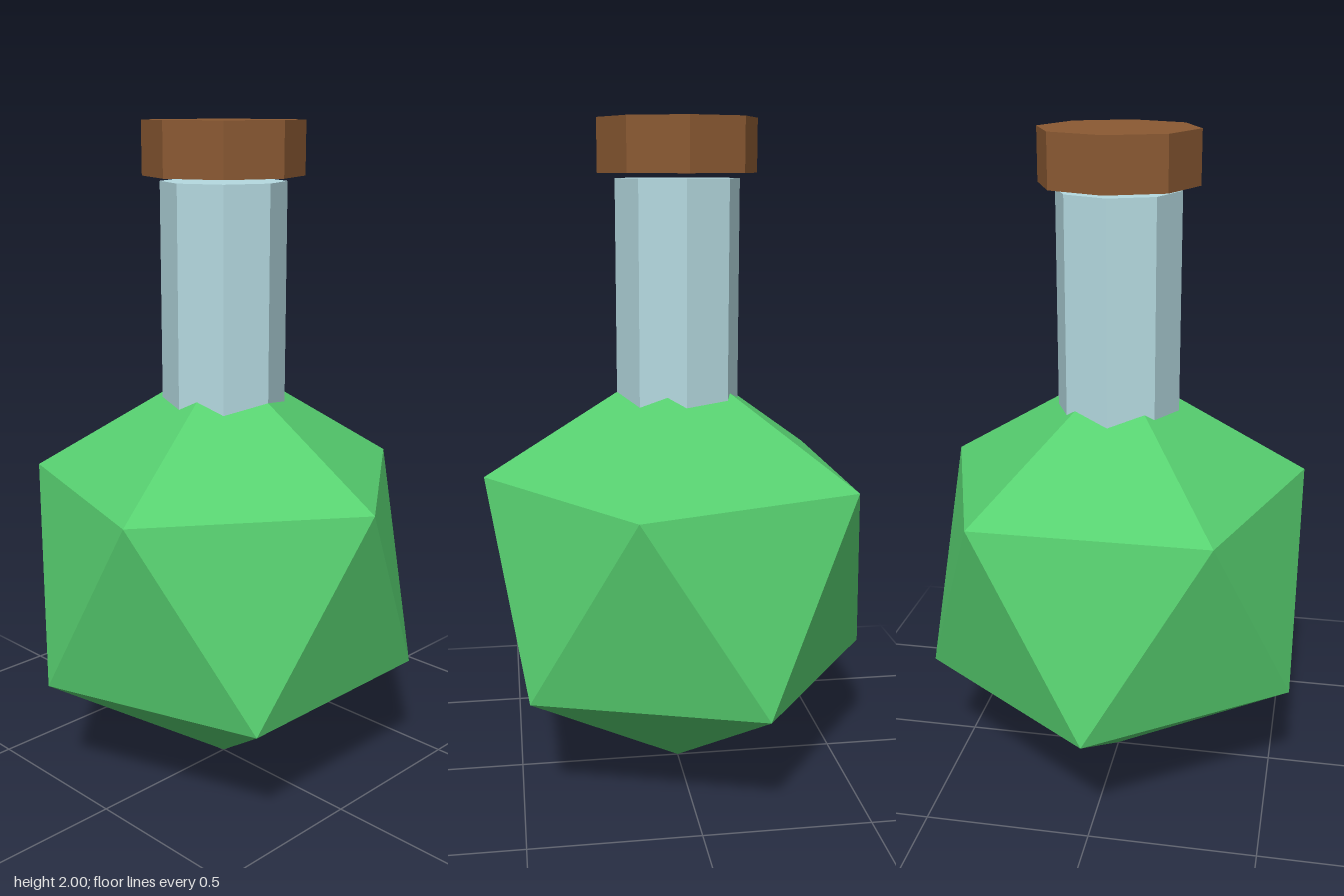
import * as THREE from 'three';

const flat = (name, color) => {
  const m = new THREE.MeshStandardMaterial({ color, flatShading: true });
  m.name = name;
  return m;
};

export function createModel() {
  const group = new THREE.Group();
  group.name = 'potionBottle';

  const green = flat('potionGreen', 0x57d070);
  const glass = flat('paleGlass', 0xb5dae1);
  const cork = flat('corkBrown', 0x8b5a33);

  const add = (name, geometry, material, y) => {
    const mesh = new THREE.Mesh(geometry, material);
    mesh.name = name;
    mesh.position.y = y;
    group.add(mesh);
  };

  // Octagonal prism given by its bottom and top heights
  const prism = (name, radius, bottom, top, material) =>
    add(name, new THREE.CylinderGeometry(radius, radius, top - bottom, 8), material, (bottom + top) / 2);

  // Faceted flask body, standing on one corner with an upper corner facing +x
  const body = new THREE.IcosahedronGeometry(0.658, 0);
  body.rotateZ(-Math.atan(2 / (1 + Math.sqrt(5))));
  add('flaskBody', body, green, 0.66);

  // Neck and the stopper floating just above it
  prism('neck', 0.184, 1.0, 1.83, glass);
  prism('stopper', 0.235, 1.845, 2.0, cork);

  return group;
}
